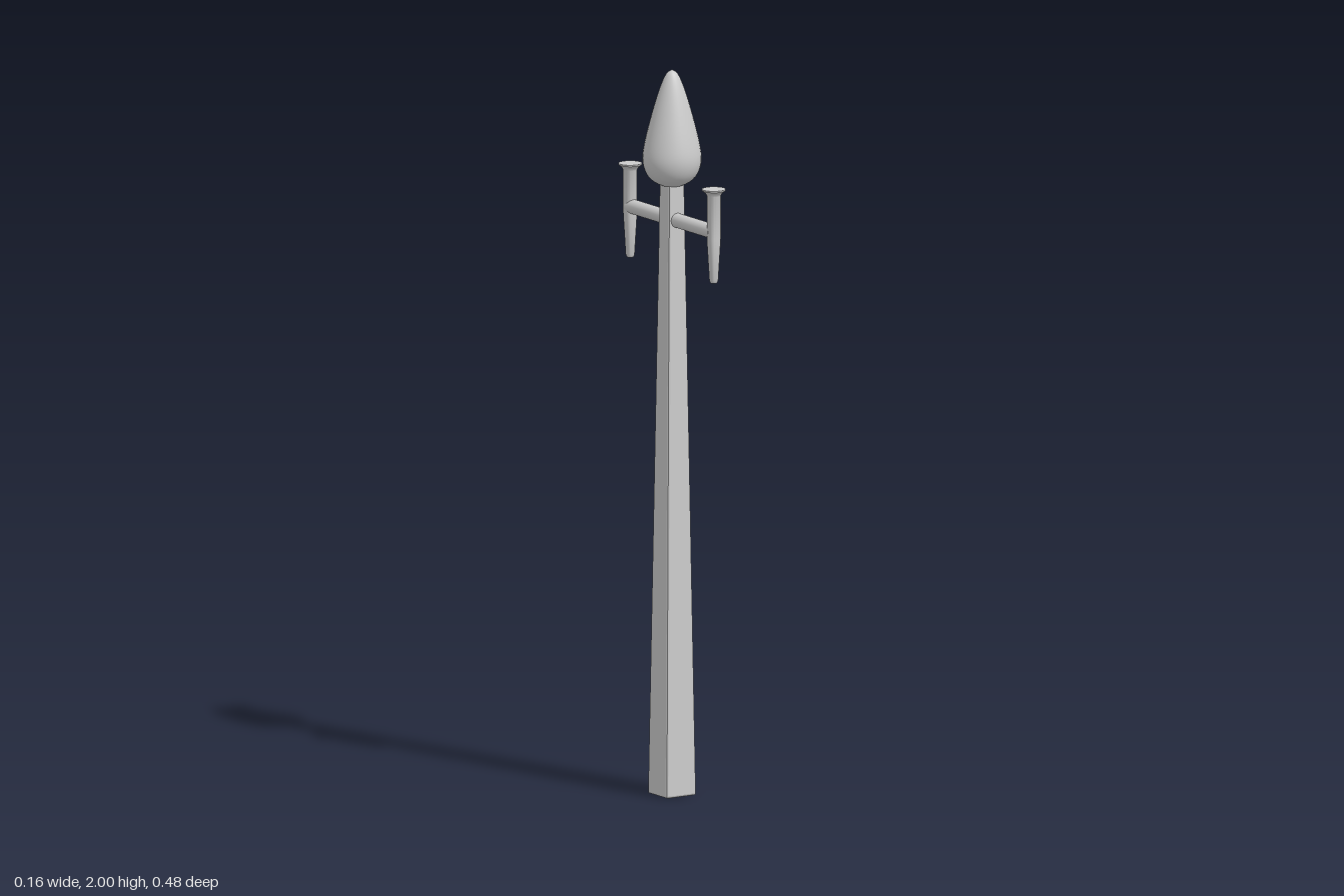
import * as THREE from 'three';
import { RoundedBoxGeometry } from 'three/addons/geometries/RoundedBoxGeometry.js';
import { toCreasedNormals } from 'three/addons/utils/BufferGeometryUtils.js';

const material = new THREE.MeshStandardMaterial({ color: 0xcccccc });

function part(name, geometry, parent) {
  const mesh = new THREE.Mesh(geometry, material);
  mesh.name = name;
  parent.add(mesh);
  return mesh;
}

const toPoints = (list) => list.map(([x, y]) => new THREE.Vector2(x, y));

// Square post with softened edges, narrowing evenly towards the top
function postGeometry(height, bottom, top) {
  const geometry = new RoundedBoxGeometry(1, height, 1, 1, 0.006);
  geometry.translate(0, height / 2, 0);
  const p = geometry.attributes.position;
  for (let i = 0; i < p.count; i++) {
    const width = THREE.MathUtils.lerp(bottom, top, p.getY(i) / height);
    // keep the small bevel at its own size while the faces move inwards
    const shrink = (v) => Math.sign(v) * (width / 2 - (0.5 - Math.abs(v)));
    p.setX(i, shrink(p.getX(i)));
    p.setZ(i, shrink(p.getZ(i)));
  }
  geometry.computeVertexNormals();
  return geometry;
}

export function createModel() {
  const model = new THREE.Group();
  model.name = 'lampPost';

  part('post', postGeometry(1.7, 0.096, 0.05), model);

  // Teardrop lantern: round below, drawn out to a blunt tip
  const lanternCurve = new THREE.SplineCurve(toPoints([
    [0, 1.676], [0.03, 1.682], [0.058, 1.699], [0.074, 1.724], [0.08, 1.757],
    [0.074, 1.8], [0.06, 1.858], [0.044, 1.915], [0.029, 1.96], [0.015, 1.989], [0, 2],
  ]));
  const lanternPoints = lanternCurve.getPoints(30);
  lanternPoints.forEach((v) => { v.x = Math.max(v.x, 0); });
  part('lantern', new THREE.LatheGeometry(lanternPoints, 32), model);

  // Side torches: tapered stem with a flared, flat cap
  const torchProfile = toPoints([
    [0, 1.447], [0.009, 1.447], [0.012, 1.453], [0.019, 1.57], [0.019, 1.688],
    [0.023, 1.695], [0.032, 1.702], [0.032, 1.706], [0, 1.706],
  ]);
  const torchGeometry = toCreasedNormals(new THREE.LatheGeometry(torchProfile, 24), 0.6);

  // One arm and torch on the front, one on the back
  for (const [side, label] of [[1, 'front'], [-1, 'back']]) {
    const arm = part(label + 'Arm', new THREE.CylinderGeometry(0.02, 0.02, 0.207, 24), model);
    arm.rotation.x = Math.PI / 2;
    arm.position.set(0, 1.588, side * 0.1035);

    const torch = part(label + 'Torch', torchGeometry, model);
    torch.position.z = side * 0.207;
  }
  return model;
}
